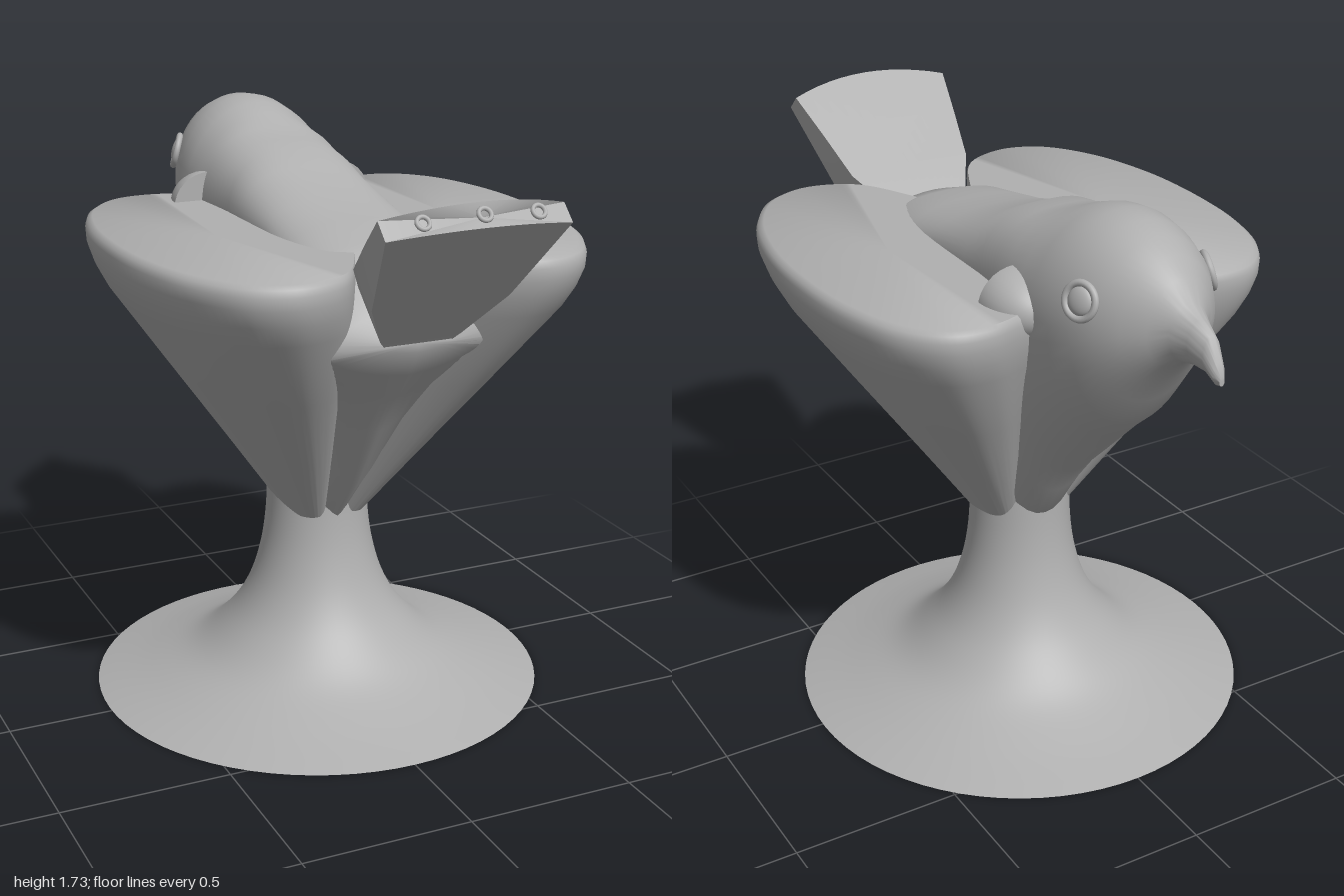
import * as THREE from 'three';
import { toCreasedNormals } from 'three/addons/utils/BufferGeometryUtils.js';

const clay = new THREE.MeshStandardMaterial({ color: 0xb0b0b0 });
clay.name = 'grey clay';

// Skin a list of closed rings (arrays of Vector3) and cap both ends.
function loft(rings, crease = 0.7) {
  const n = rings[0].length, pos = [], idx = [];
  rings.forEach(r => r.forEach(p => pos.push(p.x, p.y, p.z)));
  for (let i = 0; i < rings.length - 1; i++) {
    for (let j = 0; j < n; j++) {
      const k = (j + 1) % n, a = i * n + j, b = i * n + k;
      idx.push(a, b, a + n, b, b + n, a + n);
    }
  }
  [0, rings.length - 1].forEach(i => {
    const c = new THREE.Vector3();
    rings[i].forEach(p => c.addScaledVector(p, 1 / n));
    const ci = pos.length / 3;
    pos.push(c.x, c.y, c.z);
    for (let j = 0; j < n; j++) {
      const a = i * n + j, b = i * n + (j + 1) % n;
      if (i === 0) idx.push(ci, b, a); else idx.push(ci, a, b);
    }
  });
  const g = new THREE.BufferGeometry();
  g.setAttribute('position', new THREE.Float32BufferAttribute(pos, 3));
  g.setIndex(idx);
  return toCreasedNormals(g, crease);
}

function add(parent, name, geometry) {
  const m = new THREE.Mesh(geometry, clay);
  m.name = name;
  parent.add(m);
  return m;
}

// Flared foot and stem, turned as one piece
function pedestal() {
  const curve = new THREE.SplineCurve([
    [0.685, 0], [0.52, 0.05], [0.38, 0.11], [0.28, 0.2], [0.215, 0.3],
    [0.175, 0.42], [0.155, 0.56], [0.15, 0.75]
  ].map(p => new THREE.Vector2(...p)));
  const pts = [new THREE.Vector2(0, 0), ...curve.getPoints(40), new THREE.Vector2(0, 0.75)];
  return toCreasedNormals(new THREE.LatheGeometry(pts, 72), 0.7);
}

// Body with head and beak: z, top, widest height, bottom, half width
function body() {
  const sections = [
    [-1.0, 1.435, 1.42, 1.408, 0.008], [-0.985, 1.465, 1.435, 1.405, 0.018],
    [-0.95, 1.525, 1.47, 1.425, 0.028], [-0.9, 1.55, 1.49, 1.425, 0.04],
    [-0.85, 1.575, 1.5, 1.415, 0.06], [-0.81, 1.625, 1.49, 1.38, 0.1],
    [-0.76, 1.668, 1.48, 1.32, 0.148], [-0.7, 1.7, 1.47, 1.24, 0.187],
    [-0.63, 1.722, 1.46, 1.14, 0.213], [-0.55, 1.73, 1.45, 1.07, 0.23],
    [-0.47, 1.718, 1.44, 0.99, 0.237], [-0.4, 1.693, 1.43, 0.92, 0.237],
    [-0.33, 1.663, 1.42, 0.85, 0.232], [-0.25, 1.64, 1.42, 0.75, 0.225],
    [-0.17, 1.628, 1.42, 0.63, 0.22], [-0.08, 1.588, 1.42, 0.58, 0.22],
    [0.1, 1.53, 1.42, 0.53, 0.22], [0.25, 1.5, 1.38, 0.7, 0.23],
    [0.4, 1.472, 1.3, 0.92, 0.26], [0.5, 1.44, 1.25, 1.05, 0.27],
    [0.58, 1.33, 1.22, 1.14, 0.23], [0.64, 1.27, 1.24, 1.22, 0.1]
  ];
  const rings = sections.map(([z, top, mid, bot, w]) => {
    const back = z > -0.34 && z < 0.45;
    const ring = [];
    for (let j = 0; j < 48; j++) {
      const t = j / 48 * Math.PI * 2, c = Math.cos(t), s = Math.sin(t);
      // squarer back, keeled belly towards the tail
      const e = s > 0 ? (back ? 0.75 : 1) : (z > 0 ? 1.5 : 1);
      const x = w * Math.sign(c) * Math.abs(c) ** e;
      const h = Math.abs(s) ** (s > 0 && back ? 0.85 : 1);
      ring.push(new THREE.Vector3(x, mid + (s > 0 ? top - mid : bot - mid) * h, z));
    }
    return ring;
  });
  return loft(rings, 0.8);
}

// Folded wing: flat oval top with a rounded rim, tapering down to the stem
function wing(side) {
  const outline = new THREE.CatmullRomCurve3([
    [0.05, 0.3], [0.12, 0.5], [0.2, 0.635], [0.28, 0.685], [0.38, 0.7], [0.49, 0.65],
    [0.59, 0.5], [0.65, 0.28], [0.665, 0.05], [0.645, -0.18], [0.58, -0.38],
    [0.48, -0.485], [0.37, -0.505], [0.27, -0.48], [0.12, -0.42], [0.05, -0.2]
  ].map(([x, z]) => new THREE.Vector3(x, 0, z)), true).getPoints(96).slice(0, -1);
  if (side < 0) outline.reverse();
  const levels = [[0.57, 0.18], [0.8, 0.42], [1.05, 0.684], [1.28, 0.925], [1.34, 0.972],
    [1.39, 0.997], [1.425, 1.0], [1.445, 0.99], [1.455, 0.968]];
  return loft(levels.map(([y, s]) =>
    outline.map(p => new THREE.Vector3(side * p.x * s, y, p.z * s))), 0.8);
}

// Raised fan tail: half width, underside z and y, upper side z and y
function tail() {
  const sections = [
    [0.02, 0.57, 1.16, 0.42, 1.28], [0.12, 0.655, 1.265, 0.52, 1.38],
    [0.2, 0.77, 1.39, 0.66, 1.475], [0.23, 0.88, 1.51, 0.8, 1.58],
    [0.26, 1.0, 1.635, 0.955, 1.69]
  ];
  const n = 12;
  return loft(sections.map(([w, uz, uy, tz, ty], i) => {
    const low = [], high = [];
    for (let j = 0; j <= n; j++) {
      const u = j / n * 2 - 1, pull = (i / 4) ** 3 * 0.04 * u * u;
      low.push(new THREE.Vector3(w * u, uy - pull * 0.5, uz - pull));
      high.push(new THREE.Vector3(w * u, ty - pull * 0.8, tz - pull));
    }
    return [...low, ...high.reverse()];
  }), 0.5);
}

export function createModel() {
  const model = new THREE.Group();
  model.name = 'birdOnPedestal';

  add(model, 'pedestal', pedestal()).position.z = -0.02;
  add(model, 'body', body());
  add(model, 'tail', tail());

  for (const side of [1, -1]) {
    const label = side > 0 ? 'left' : 'right';
    add(model, label + 'Wing', wing(side));

    // Shoulder swelling with a flat rear step
    const shoulder = new THREE.Group();
    shoulder.name = label + 'Shoulder';
    const dome = new THREE.SphereGeometry(1, 32, 12, 0, Math.PI * 2, 0, Math.PI / 2);
    add(shoulder, 'shoulderDome', dome.rotateX(-Math.PI / 2));
    add(shoulder, 'shoulderStep', new THREE.CircleGeometry(1, 32));
    shoulder.position.set(side * 0.21, 1.44, -0.345);
    shoulder.scale.set(0.11, 0.1, 0.15);
    model.add(shoulder);

    // Eye: ball inside a raised rim
    const eye = new THREE.Group();
    eye.name = label + 'Eye';
    add(eye, 'eyeRim', new THREE.TorusGeometry(0.047, 0.01, 10, 32));
    add(eye, 'eyeBall', new THREE.SphereGeometry(0.038, 24, 16)).scale.z = 0.4;
    eye.position.set(side * 0.198, 1.55, -0.655);
    eye.lookAt(side * 1.1, 1.8, -1.0);
    model.add(eye);
  }

  // Small round sockets along the tail edge
  for (const x of [-0.16, 0, 0.16]) {
    const socket = add(model, 'tailSocket', new THREE.TorusGeometry(0.017, 0.006, 8, 20));
    const pull = 0.04 * (x / 0.26) ** 2;
    socket.position.set(x, 1.663 - pull * 0.65, 0.976 - pull);
    socket.rotation.x = -0.69;
  }
  return model;
}
